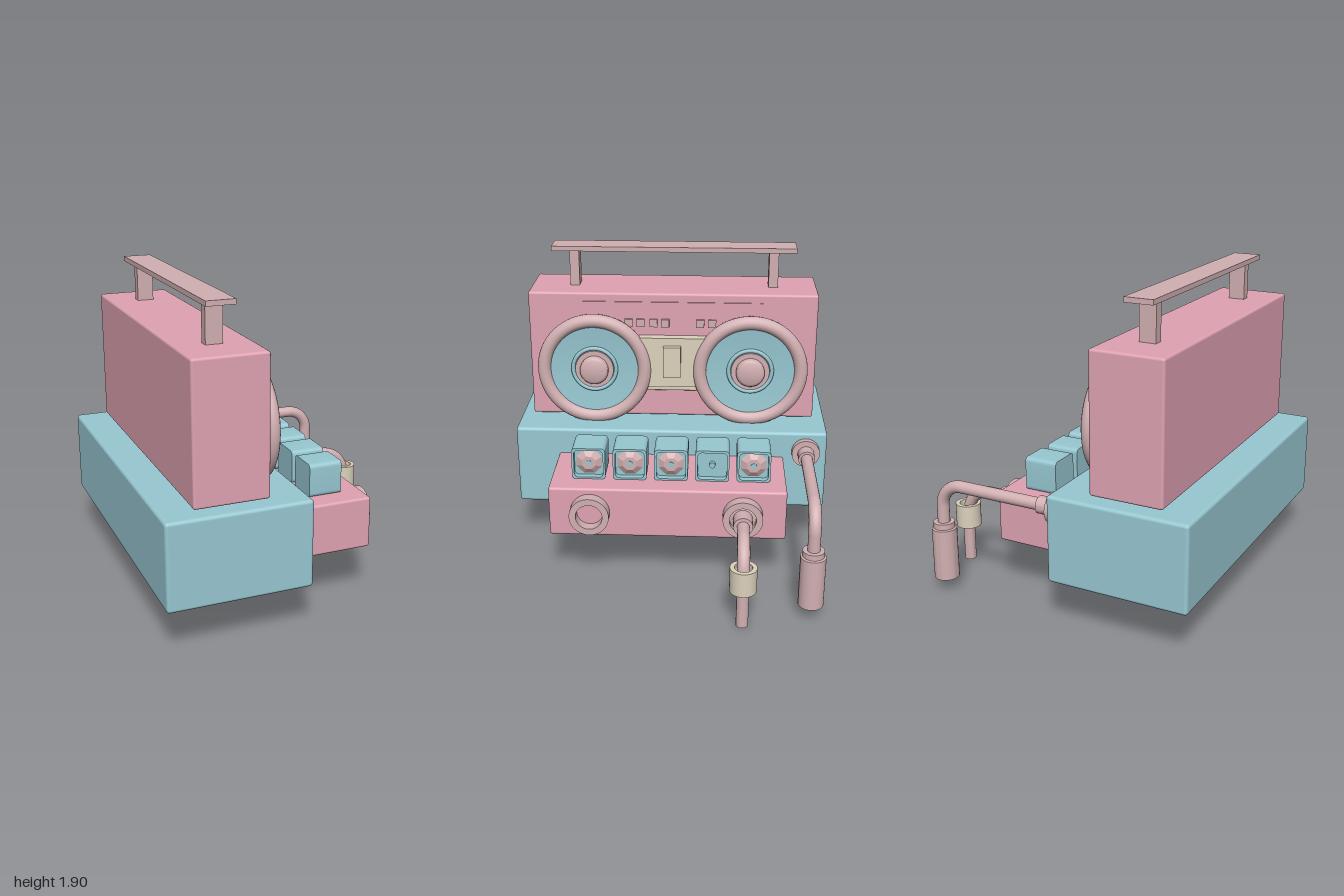
import * as THREE from 'three';
import { toCreasedNormals } from 'three/addons/utils/BufferGeometryUtils.js';
import { RoundedBoxGeometry } from 'three/addons/geometries/RoundedBoxGeometry.js';

const mat = (color) => new THREE.MeshStandardMaterial({ color });
const PINK = mat(0xe0a3b3), BLUE = mat(0x98c8d2), MAUVE = mat(0xd2b0b2), BEIGE = mat(0xdcd2bc);

export function createModel() {
  const root = new THREE.Group();
  root.name = 'tapedeckMachine';
  const body = new THREE.Group();
  body.name = 'machine';
  body.rotation.y = 0.0203; // the whole machine sits slightly turned
  root.add(body);

  const add = (name, geo, material, x, y, z, parent = body) => {
    const m = new THREE.Mesh(geo, material);
    m.name = name;
    m.position.set(x, y, z);
    parent.add(m);
    return m;
  };
  // box given by its limits, rounded when r > 0
  const box = (name, material, [x0, x1], [y0, y1], [z0, z1], r = 0) => {
    const s = [x1 - x0, y1 - y0, z1 - z0];
    const geo = r ? new RoundedBoxGeometry(...s, 3, r) : new THREE.BoxGeometry(...s);
    return add(name, geo, material, (x0 + x1) / 2, (y0 + y1) / 2, (z0 + z1) / 2);
  };
  // turned profile of [radius, height]; alongX points its axis to +x
  const turned = (profile, alongX = true, sides = 48) => {
    const g = new THREE.LatheGeometry(profile.map(([r, h]) => new THREE.Vector2(r, h)), sides);
    if (alongX) g.rotateZ(-Math.PI / 2);
    return toCreasedNormals(g, 0.6);
  };
  const rod = (r, h) => [[0, 0], [r, 0], [r, h], [0, h]];
  const ring = (ro, ri, h) => [[ri, 0], [ro, 0], [ro, h], [ri, h], [ri, 0]];

  // main masses
  const mid = -0.0135;
  box('base', BLUE, [-0.911, -0.061], [0.29, 0.81], [mid - 0.988, mid + 0.988], 0.02);
  box('playerBody', PINK, [-0.727, -0.287], [0.823, 1.642], [mid - 0.908, mid + 0.908], 0.015);
  box('controlBox', PINK, [-0.1, 0.437], [0.327, 0.643], [mid - 0.715, mid + 0.715], 0.015);

  // carrying handle
  box('handleBar', MAUVE, [-0.595, -0.425], [1.87, 1.9], [mid - 0.77, mid + 0.77]);
  for (const s of [-1, 1]) {
    const z = mid + s * 0.631;
    box('handlePost', MAUVE, [-0.56, -0.46], [1.63, 1.875], [z - 0.03, z + 0.03]);
  }

  // speakers
  const face = -0.287;
  for (const s of [-1, 1]) {
    const sp = new THREE.Group();
    sp.name = s > 0 ? 'leftSpeaker' : 'rightSpeaker';
    sp.position.set(face, 1.155, mid + s * 0.495);
    body.add(sp);
    const rim = new THREE.TorusGeometry(0.32, 0.043, 16, 64).rotateY(Math.PI / 2);
    add('speakerRim', rim, MAUVE, 0.049, 0, 0, sp);
    add('speakerBack', turned(ring(0.325, 0.2, 0.03)), MAUVE, 0, 0, 0, sp);
    add('speakerCone', turned([[0.3, 0], [0.3, 0.06], [0.15, 0.045], [0, 0.045]]), BLUE, 0, 0, 0, sp);
    const surround = new THREE.TorusGeometry(0.137, 0.013, 10, 48).rotateY(Math.PI / 2);
    add('innerRing', surround, BLUE, 0.05, 0, 0, sp);
    add('domePlate', turned(rod(0.122, 0.06)), MAUVE, 0, 0, 0, sp);
    add('speakerDome', turned([[0.09, 0], [0.09, 0.09], [0.084, 0.1], [0.07, 0.107], [0, 0.107]]), MAUVE, 0, 0, 0, sp);
  }

  // tape panel, tuner strip and keys between the speakers
  box('tapePanel', BEIGE, [face - 0.02, -0.225], [1.045, 1.37], [mid - 0.22, mid + 0.22]);
  box('tapePanelSill', BEIGE, [face - 0.02, -0.25], [1.01, 1.04], [mid - 0.16, mid + 0.16], 0.008);
  box('tapeDoor', BEIGE, [-0.23, -0.187], [1.12, 1.32], [mid - 0.055, mid + 0.055]);
  box('tunerStrip', PINK, [face - 0.02, face + 0.008], [1.535, 1.588], [mid - 0.565, mid + 0.565]);
  for (const z of [0.263, 0.188, 0.107, 0.032, -0.188, -0.263])
    box('key', MAUVE, [face - 0.02, face + 0.015], [1.427, 1.477], [z - 0.025, z + 0.025]);

  // row of dial cubes with an open rounded frame at the front
  const roundedSquare = (Type, h, r) => {
    const p = new Type();
    p.moveTo(h, -h + r);
    [[1, 1], [-1, 1], [-1, -1], [1, -1]].forEach(([a, b], i) => {
      const q = h - r;
      p.absarc(a * q, b * q, r, i * Math.PI / 2, (i + 1) * Math.PI / 2, false);
    });
    return p;
  };
  const extrudeX = (shape, depth) =>
    toCreasedNormals(new THREE.ExtrudeGeometry(shape, { depth, bevelEnabled: false, curveSegments: 6 }).rotateY(Math.PI / 2), 0.6);
  const frame = roundedSquare(THREE.Shape, 0.102, 0.025);
  frame.holes.push(roundedSquare(THREE.Path, 0.088, 0.025));
  for (let i = 0; i < 5; i++) {
    const dial = new THREE.Group();
    dial.name = 'dial';
    dial.position.set(0.097, 0.742, -0.53 + i * 0.25);
    body.add(dial);
    add('dialCase', extrudeX(roundedSquare(THREE.Shape, 0.102, 0.025), 0.165), BLUE, 0, 0, 0, dial);
    add('dialFrame', extrudeX(frame, 0.042), BLUE, 0.163, 0, 0, dial);
    if (i !== 1) {
      const knob = new THREE.CylinderGeometry(0.045, 0.085, 0.025, 8).rotateZ(-Math.PI / 2);
      const k = add('dialKnob', toCreasedNormals(knob, 0.2), MAUVE, 0.177, 0, 0, dial);
      k.rotation.x = Math.PI / 8;
    }
    add('dialPin', turned(rod(0.018, 0.03), true, 16), BLUE, 0.163, 0, 0, dial);
  }

  // open socket on the control box
  add('socket', turned(ring(0.12, 0.08, 0.075)), MAUVE, 0.43, 0.487, 0.452);

  // pipe that runs forward, then bends down
  const pipe = (name, r, x0, x1, y0, y1, z, bend) => {
    const v = (x, y) => new THREE.Vector3(x, y, 0);
    const k = bend * 0.448;
    const path = new THREE.CurvePath();
    path.add(new THREE.LineCurve3(v(x0, y0), v(x1 - bend, y0)));
    path.add(new THREE.CubicBezierCurve3(v(x1 - bend, y0), v(x1 - k, y0), v(x1, y0 - k), v(x1, y0 - bend)));
    path.add(new THREE.LineCurve3(v(x1, y0 - bend), v(x1, y1)));
    add(name, new THREE.TubeGeometry(path, 60, r, 20), MAUVE, 0, 0, z);
  };

  // front spout
  const z1 = -0.467;
  add('spoutFlange', turned(ring(0.12, 0.08, 0.075)), MAUVE, 0.43, 0.487, z1);
  add('spoutCollar', turned([[0.085, 0], [0.085, 0.04], [0.058, 0.05], [0.058, 0.15], [0, 0.15]]), MAUVE, 0.43, 0.487, z1);
  pipe('spoutPipe', 0.037, 0.5, 0.848, 0.487, 0.3, z1, 0.16);
  add('spoutSleeve', turned(ring(0.079, 0.052, 0.15), false), BEIGE, 0.857, 0.235, z1);
  add('spoutTip', turned(rod(0.036, 0.31), false), MAUVE, 0.857, 0, z1);

  // side spout
  const z2 = -0.868;
  add('sideFlange', turned(rod(0.088, 0.05)), MAUVE, -0.07, 0.685, z2);
  add('sideCollar', turned(rod(0.052, 0.13)), MAUVE, -0.07, 0.685, z2);
  pipe('sidePipe', 0.037, 0, 0.741, 0.685, 0.42, z2, 0.14);
  add('sideNozzle', turned([[0, 0], [0.075, 0], [0.075, 0.32], [0.064, 0.325], [0.064, 0.36], [0, 0.36]], false), MAUVE, 0.741, 0.08, z2);

  return root;
}
